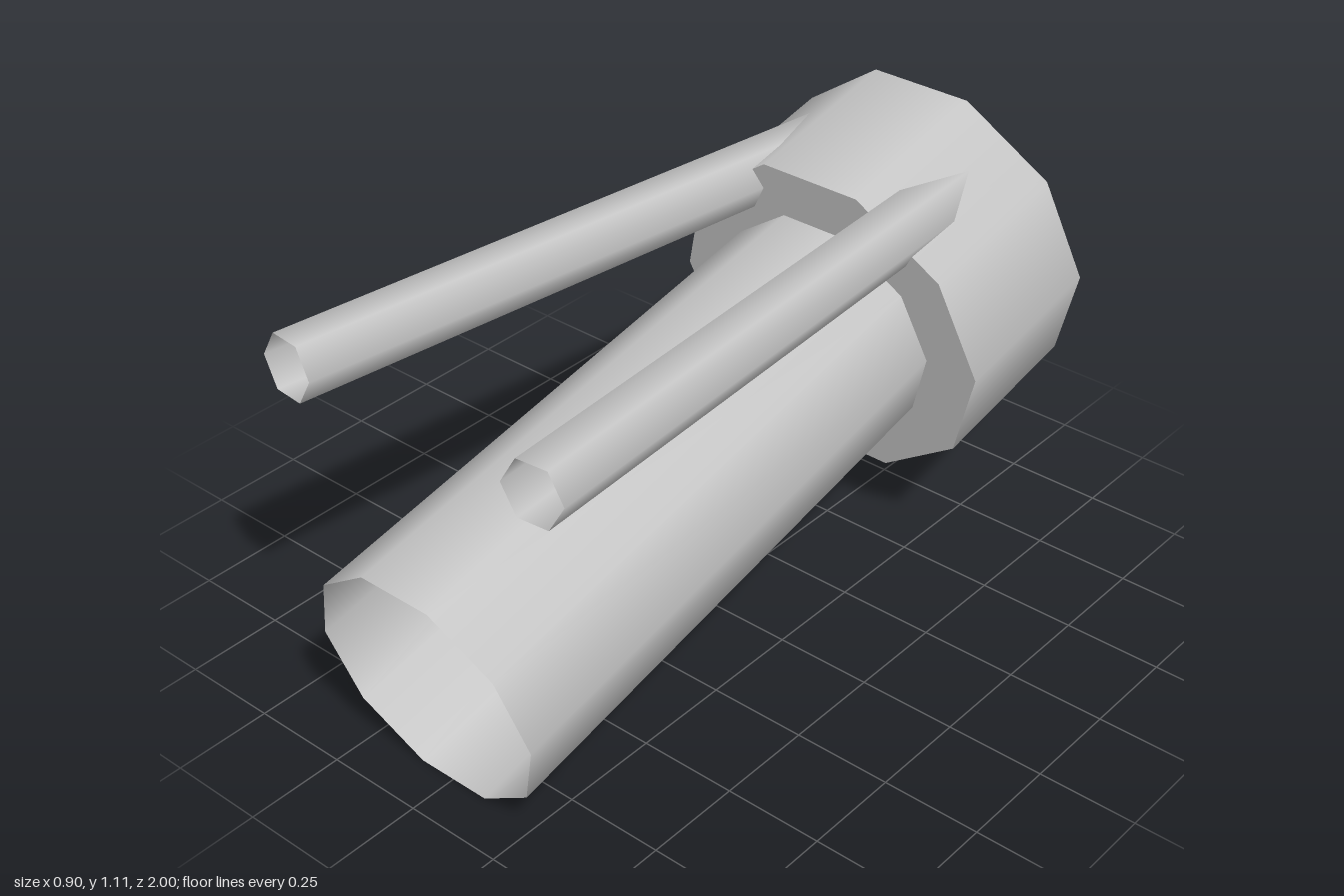
import * as THREE from 'three';

export function createModel() {
  const model = new THREE.Group();
  const grey = new THREE.MeshStandardMaterial({ color: 0xc4c4c4, side: THREE.DoubleSide });
  grey.name = 'light grey';

  // Cylinder running from back to front; a side lies flat on top
  function pipe(name, front, back, rFront, rBack, sides, open) {
    const a = new THREE.Vector3(...front);
    const b = new THREE.Vector3(...back);
    const geo = new THREE.CylinderGeometry(rFront, rBack, a.distanceTo(b), sides, 1, open, Math.PI / sides);
    geo.rotateX(Math.PI / 2);
    const mesh = new THREE.Mesh(geo, grey);
    mesh.name = name;
    mesh.position.addVectors(a, b).multiplyScalar(0.5);
    mesh.lookAt(a);
    model.add(mesh);
  }

  // Hollow main barrel and the solid, wider head behind it
  pipe('barrel', [0, 0.303, 0.938], [0, 0.605, -0.47], 0.32, 0.305, 10, true);
  pipe('head', [0, 0.605, -0.47], [0, 0.697, -0.911], 0.448, 0.448, 10, false);

  // Two hollow rods, spreading apart towards the front
  for (const [name, s] of [['leftRod', 1], ['rightRod', -1]]) {
    pipe(name, [s * 0.357, 0.985, 0.935], [s * 0.202, 0.94, -0.7], 0.08, 0.08, 6, true);
  }

  return model;
}
